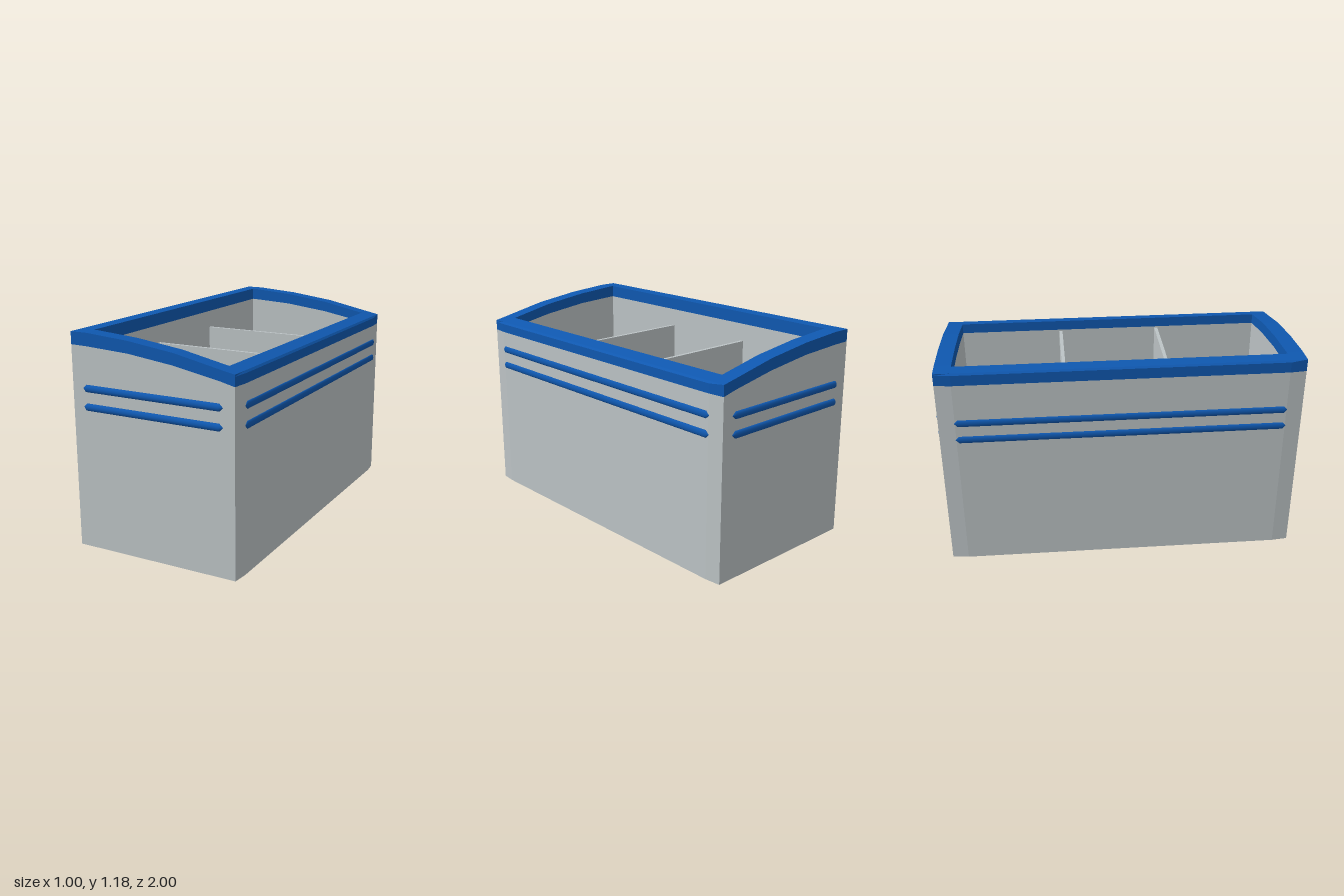
import * as THREE from 'three';

// Curved top line of the container, seen from the front
const TOP = [[-0.49, 1.174], [-0.48, 1.183], [-0.38, 1.183], [-0.13, 1.165], [0.14, 1.13], [0.4, 1.076], [0.48, 1.06], [0.49, 1.05]];
const LOW = [[-0.49, 1.115], [-0.38, 1.113], [-0.13, 1.1], [0.14, 1.067], [0.4, 1.019], [0.49, 1.0]];
const W = 0.49, D = 0.985, INX = 0.4, INZ = 0.895, FLOOR = 0.76, CHAMFER = 0.01;

function heightAt(line, x) {
  for (let i = 1; i < line.length; i++) {
    const [x0, y0] = line[i - 1], [x1, y1] = line[i];
    if (x <= x1) return y0 + (y1 - y0) * (x - x0) / (x1 - x0);
  }
  return line[line.length - 1][1];
}

// Part of a line between two x positions
function slice(line, a, b) {
  const inner = line.filter(([x]) => x > a + 1e-4 && x < b - 1e-4);
  return [[a, heightAt(line, a)], ...inner, [b, heightAt(line, b)]];
}

// Solid between two lines from x = a to b, running from z0 to z1
function band(lower, upper, a, b, z0, z1) {
  const outline = [...slice(lower, a, b), ...slice(upper, a, b).reverse()];
  const shape = new THREE.Shape(outline.map(([x, y]) => new THREE.Vector2(x, y)));
  const geo = new THREE.ExtrudeGeometry(shape, { depth: z1 - z0, bevelEnabled: false });
  geo.translate(0, 0, z0);
  // Draw in the outer upright corners, leaving a narrow chamfer
  const p = geo.attributes.position;
  for (let i = 0; i < p.count; i++) {
    if (Math.abs(p.getZ(i)) > D - 1e-3 && Math.abs(p.getX(i)) > W - 1e-3) {
      p.setX(i, Math.sign(p.getX(i)) * (W - CHAMFER));
    }
  }
  geo.computeVertexNormals();
  return geo;
}

export function createModel() {
  const grey = new THREE.MeshStandardMaterial({ color: 0xbcc3c5 });
  grey.name = 'light grey';
  const blue = new THREE.MeshStandardMaterial({ color: 0x0f58b0 });
  blue.name = 'blue';

  const model = new THREE.Group();
  model.name = 'dividedContainer';
  const add = (name, geo, mat) => {
    const mesh = new THREE.Mesh(geo, mat);
    mesh.name = name;
    model.add(mesh);
    return mesh;
  };

  // Four walls and the rim pieces on top of them
  const ground = [[-W, 0], [W, 0]];
  const sides = [
    ['front', -W, W, INZ, D],
    ['back', -W, W, -D, -INZ],
    ['left', INX, W, -INZ, INZ],
    ['right', -W, -INX, -INZ, INZ],
  ];
  for (const [side, a, b, z0, z1] of sides) {
    add(side + 'Wall', band(ground, LOW, a, b, z0, z1), grey);
    add(side + 'Rim', band(LOW, TOP, a, b, z0, z1), blue);
  }

  // Raised floor and two dividers
  add('floor', new THREE.BoxGeometry(INX * 2, FLOOR, INZ * 2), grey).position.y = FLOOR / 2;
  for (const z of [-0.3, 0.29]) {
    add('divider', new THREE.BoxGeometry(INX * 2, 0.25, 0.02), grey).position.set(0, FLOOR + 0.125, z);
  }

  // Pairs of slim bars with pointed ends, half sunk into each wall
  const bar = (half, depth) => {
    const profile = [[0, -half], [0.02, 0.02 - half], [0.02, half - 0.02], [0, half]];
    const geo = new THREE.LatheGeometry(profile.map(([r, y]) => new THREE.Vector2(r, y)), 12);
    geo.rotateZ(Math.PI / 2);
    geo.scale(1, 1, depth / 0.02);
    return geo;
  };
  const endBar = bar(0.415, 0.015);
  const sideBar = bar(0.9, 0.01).rotateY(Math.PI / 2);
  for (const y of [0.79, 0.89]) {
    for (const s of [-1, 1]) {
      add(s > 0 ? 'frontBar' : 'backBar', endBar, blue).position.set(0, y, s * D);
      add(s > 0 ? 'leftBar' : 'rightBar', sideBar, blue).position.set(s * W, y, 0);
    }
  }
  return model;
}
